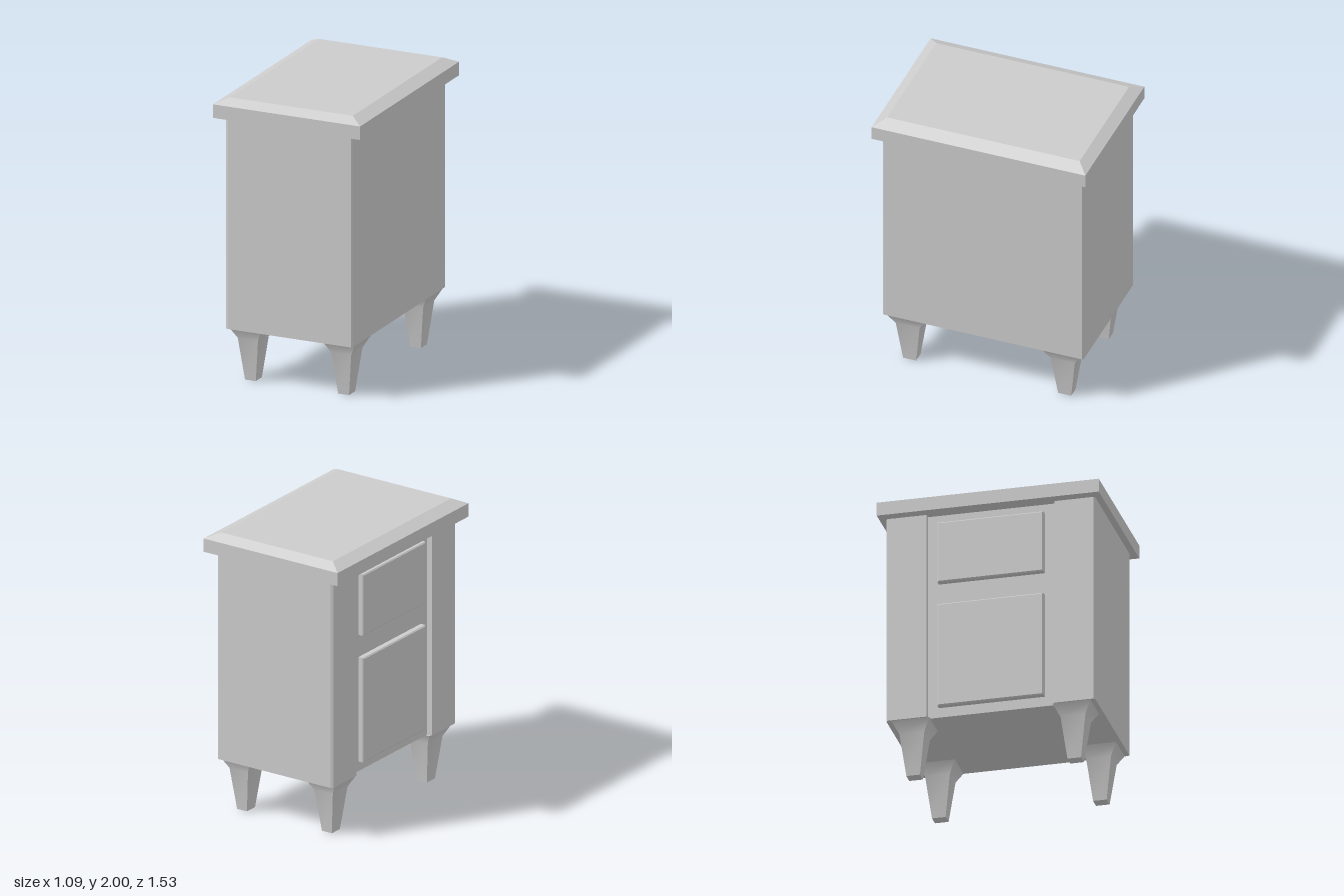
import * as THREE from 'three';

const material = new THREE.MeshStandardMaterial({ color: 0xcccccc });

// Rectangular body through sections [y, halfWidthX, halfDepthZ], bottom to top
function loft(sections, smooth = false) {
  const n = sections.length - 1;
  let geo = new THREE.BoxGeometry(1, 1, 1, 1, n, 1);
  if (!smooth) geo = geo.toNonIndexed();
  const p = geo.attributes.position;
  for (let i = 0; i < p.count; i++) {
    const [y, hx, hz] = sections[Math.round((p.getY(i) + 0.5) * n)];
    p.setXYZ(i, Math.sign(p.getX(i)) * hx, y, Math.sign(p.getZ(i)) * hz);
  }
  geo.computeVertexNormals();
  return geo;
}

function add(group, name, geo, x = 0, y = 0, z = 0) {
  const mesh = new THREE.Mesh(geo, material);
  mesh.name = name;
  mesh.position.set(x, y, z);
  group.add(mesh);
  return mesh;
}

export function createModel() {
  const group = new THREE.Group();
  group.name = 'cabinet';

  // Carcass: chamfered plan with a full-height recess between two stiles on the -x side
  const half = [[0.455, 0.72], [-0.455, 0.72], [-0.473, 0.71], [-0.473, 0.44], [-0.435, 0.44]];
  const outline = [[0.465, 0.71], ...half];
  const mirrored = outline.map(([x, z]) => [x, -z]).reverse();
  const plan = new THREE.Shape([...outline, ...mirrored].map(([x, z]) => new THREE.Vector2(x, z)));
  const carcass = new THREE.ExtrudeGeometry(plan, { depth: 1.485, bevelEnabled: false });
  carcass.rotateX(-Math.PI / 2);
  add(group, 'carcass', carcass, 0, 0.38, 0);

  // Table top with a sloped rim
  add(group, 'top', loft([[1.865, 0.545, 0.765], [1.96, 0.545, 0.765], [2, 0.455, 0.69]]));

  // Drawer and door fronts standing in the recess, with a fine chamfered edge
  for (const [name, y0, y1] of [['drawerFront', 1.36, 1.8], ['doorFront', 0.45, 1.2]]) {
    const h = (y1 - y0) / 2;
    const panel = loft([[0, h, 0.365], [0.035, h, 0.365], [0.043, h - 0.008, 0.357]]);
    panel.rotateZ(Math.PI / 2);
    add(group, name, panel, -0.435, y0 + h, 0);
  }

  // Tapered legs flaring out under the carcass
  const leg = loft([[0, 0.04, 0.047], [0.3, 0.075, 0.086], [0.38, 0.118, 0.13]], true);
  for (const x of [-0.345, 0.345])
    for (const z of [-0.555, 0.555]) add(group, 'leg', leg, x, 0, z);

  return group;
}
